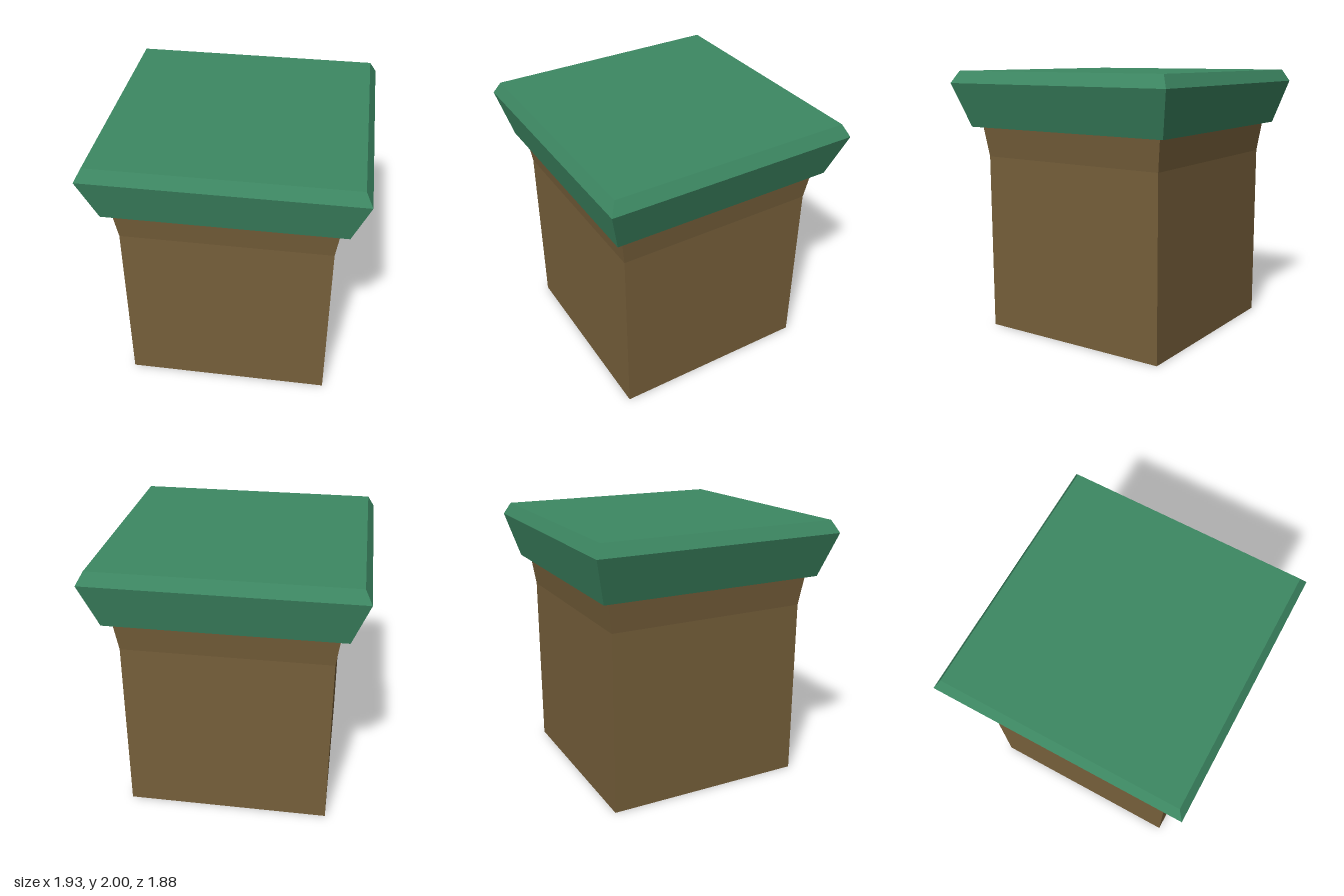
import * as THREE from 'three';

// Stacks rectangular rings [y, halfX, halfZ] into a flat-faced shell, closing either end on request.
function loftRects(rings, capBottom, capTop) {
  const pos = [];
  const corners = ([y, hx, hz]) => [[-hx, y, hz], [hx, y, hz], [hx, y, -hz], [-hx, y, -hz]];
  const quad = (a, b, c, d) => pos.push(...a, ...b, ...c, ...a, ...c, ...d);
  const loops = rings.map(corners);
  for (let i = 0; i < loops.length - 1; i++) {
    const lo = loops[i], hi = loops[i + 1];
    for (let k = 0; k < 4; k++) {
      const n = (k + 1) % 4;
      quad(lo[k], lo[n], hi[n], hi[k]);
    }
  }
  if (capTop) quad(...loops[loops.length - 1]);
  if (capBottom) quad(...loops[0].slice().reverse());
  const geo = new THREE.BufferGeometry();
  geo.setAttribute('position', new THREE.Float32BufferAttribute(pos, 3));
  geo.computeVertexNormals();
  return geo;
}

export function createModel() {
  const group = new THREE.Group();
  group.name = 'cappedPost';

  const brown = new THREE.MeshStandardMaterial({ color: 0x765f3a, side: THREE.DoubleSide });
  brown.name = 'brown';
  const green = new THREE.MeshStandardMaterial({ color: 0x3d8863, side: THREE.DoubleSide });
  green.name = 'green';

  // Square post, flaring outward near the top and running up inside the cap
  const post = new THREE.Mesh(
    loftRects([[0, 0.76, 0.76], [1.35, 0.76, 0.76], [1.9, 0.832, 0.832]], true, false), brown);
  post.name = 'post';

  // Hollow cap with sloping sides and a bevelled top, open underneath
  const cap = new THREE.Mesh(
    loftRects([[1.58, 0.85, 0.85], [1.91, 0.967, 0.94], [2, 0.917, 0.893]], false, true), green);
  cap.name = 'cap';

  group.add(post, cap);
  return group;
}
